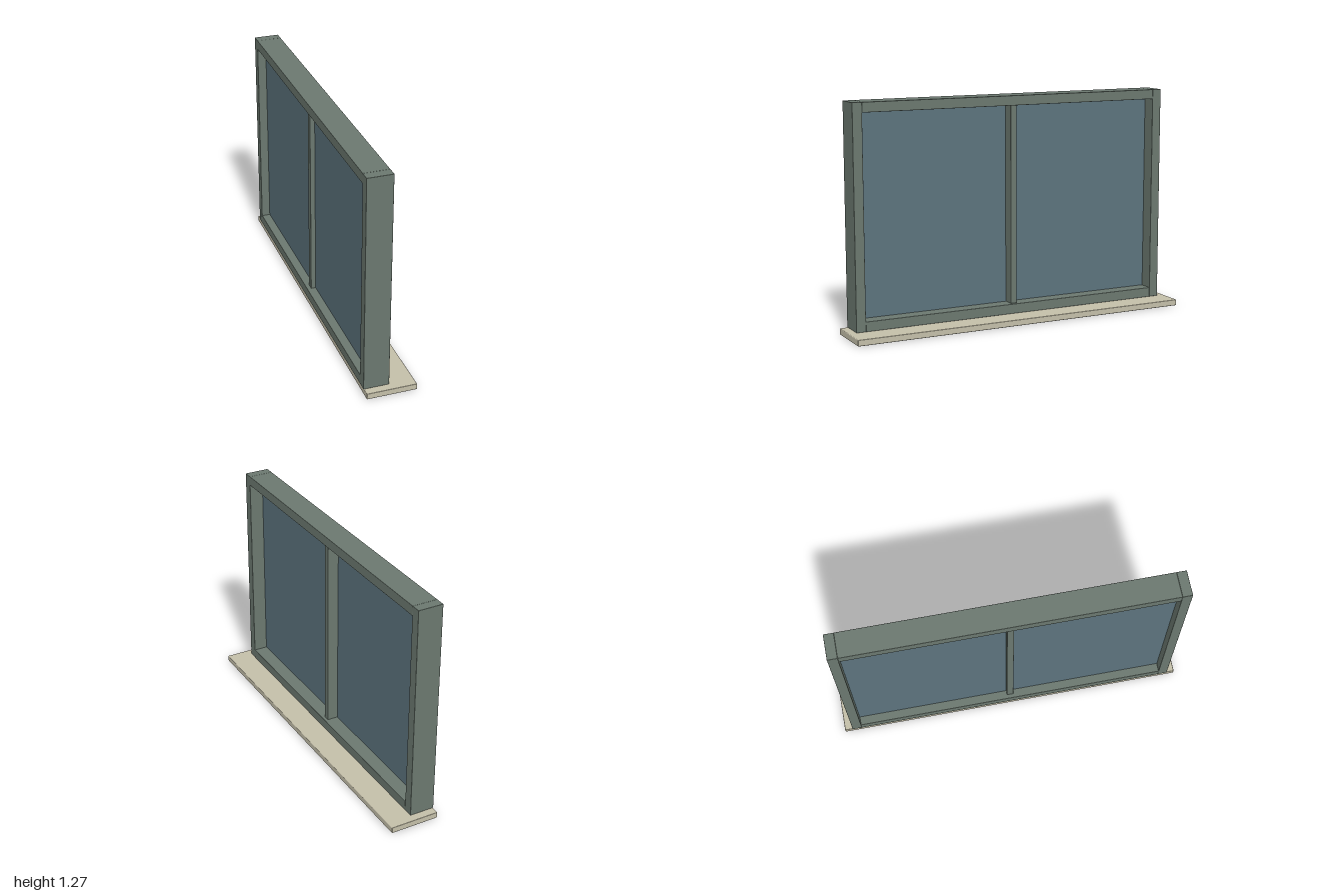
import * as THREE from 'three';
import { RoundedBoxGeometry } from 'three/addons/geometries/RoundedBoxGeometry.js';

const frameMat = new THREE.MeshStandardMaterial({ color: 0x6b786f });
const sillMat = new THREE.MeshStandardMaterial({ color: 0xc4bfa9 });
const glassMat = new THREE.MeshStandardMaterial({ color: 0x5c737d });

// Box given by its [min, max] extents, with softly eased edges when radius > 0
function slab(name, material, [x0, x1], [y0, y1], [z0, z1], radius = 0) {
  const size = [x1 - x0, y1 - y0, z1 - z0];
  const geometry = radius > 0
    ? new RoundedBoxGeometry(...size, 2, radius)
    : new THREE.BoxGeometry(...size);
  const mesh = new THREE.Mesh(geometry, material);
  mesh.name = name;
  mesh.position.set((x0 + x1) / 2, (y0 + y1) / 2, (z0 + z1) / 2);
  return mesh;
}

export function createModel() {
  const model = new THREE.Group();
  model.name = 'window';

  const depth = [-0.143, 0]; // frame depth along x
  const bottom = 0.035, top = 1.27; // frame height
  const inner = 0.9, outer = 0.955; // jamb faces along z
  const bar = 0.055; // rail height
  const ease = 0.002;

  // Projecting sill
  model.add(slab('sill', sillMat, [-0.14, 0.14], [0, bottom], [-1, 1], 0.004));

  // Outer frame: full-height jambs with rails between them
  const frame = new THREE.Group();
  frame.name = 'frame';
  frame.add(
    slab('frontJamb', frameMat, depth, [bottom, top], [inner, outer], ease),
    slab('backJamb', frameMat, depth, [bottom, top], [-outer, -inner], ease),
    slab('bottomRail', frameMat, depth, [bottom, bottom + bar], [-inner, inner], ease),
    slab('topRail', frameMat, depth, [top - bar, top], [-inner, inner], ease),
  );
  model.add(frame);

  // Central mullion, set back from both frame faces
  model.add(slab('mullion', frameMat, [-0.12, -0.018], [bottom + bar, top - bar], [-0.019, 0.019], ease));

  // A glass pane on each side of the mullion
  for (const [name, z] of [['frontPane', [0.019, inner]], ['backPane', [-inner, -0.019]]]) {
    model.add(slab(name, glassMat, [-0.093, -0.081], [bottom + bar, top - bar], z));
  }

  return model;
}
